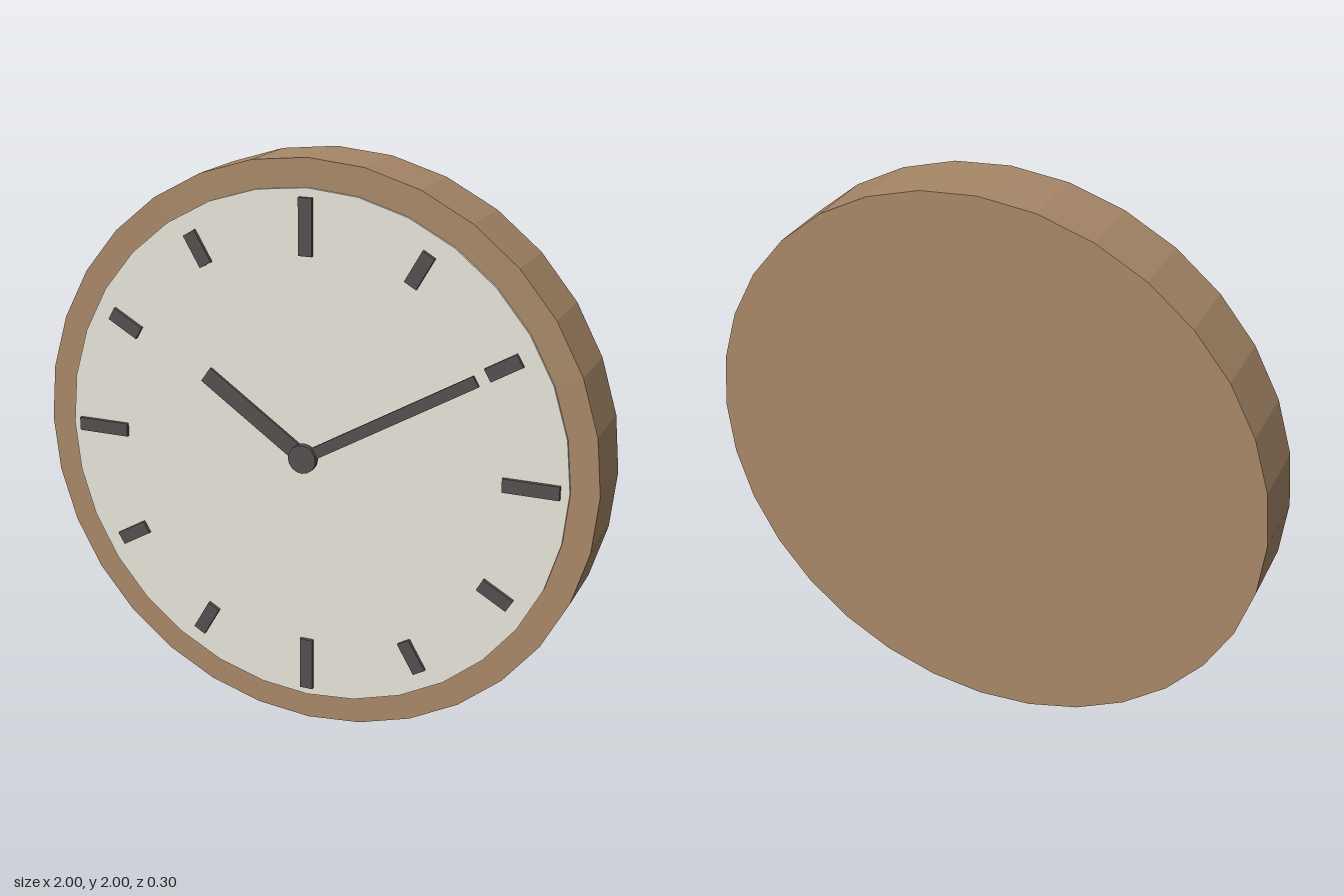
import * as THREE from 'three';

const material = (name, color, flatShading = true) => {
  const m = new THREE.MeshStandardMaterial({ color, flatShading });
  m.name = name;
  return m;
};

export function createModel() {
  const wood = material('wood', 0xa88868);
  const ivory = material('ivory', 0xe8e4da);
  const charcoal = material('charcoal', 0x544f4e);

  const clock = new THREE.Group();
  clock.name = 'wallClock';
  const centre = new THREE.Group();
  centre.name = 'clockBody';
  centre.position.y = 1;
  clock.add(centre);

  // Round slab facing +z, spanning z0 to z1
  const disc = (name, radius, z0, z1, sides, mat) => {
    const geometry = new THREE.CylinderGeometry(radius, radius, z1 - z0, sides).rotateX(Math.PI / 2);
    const mesh = new THREE.Mesh(geometry, mat);
    mesh.name = name;
    mesh.position.z = (z0 + z1) / 2;
    centre.add(mesh);
  };

  // Bar running outwards from r0 to r1 at an angle measured from +x
  const bar = (name, r0, r1, width, z0, z1, degrees) => {
    const geometry = new THREE.BoxGeometry(r1 - r0, width, z1 - z0);
    geometry.translate((r0 + r1) / 2, 0, (z0 + z1) / 2);
    const mesh = new THREE.Mesh(geometry, charcoal);
    mesh.name = name;
    mesh.rotation.z = THREE.MathUtils.degToRad(degrees);
    centre.add(mesh);
  };

  // Case and dial
  disc('case', 1, -0.15, 0.098, 32, wood);
  disc('dial', 0.905, 0.098, 0.107, 32, ivory);

  // Hour markers, longer at the quarters
  for (let i = 0; i < 12; i++) {
    const half = i % 3 === 0 ? 0.095 : 0.06;
    bar(`hourMarker${i + 1}`, 0.78 - half, 0.78 + half, 0.047, 0.107, 0.12, i * 30);
  }

  // Hands and hub
  bar('hourHand', 0, 0.438, 0.06, 0.128, 0.139, 145);
  bar('minuteHand', 0, 0.685, 0.04, 0.129, 0.14, 30);
  disc('hub', 0.05, 0.128, 0.152, 16, charcoal);

  return clock;
}
